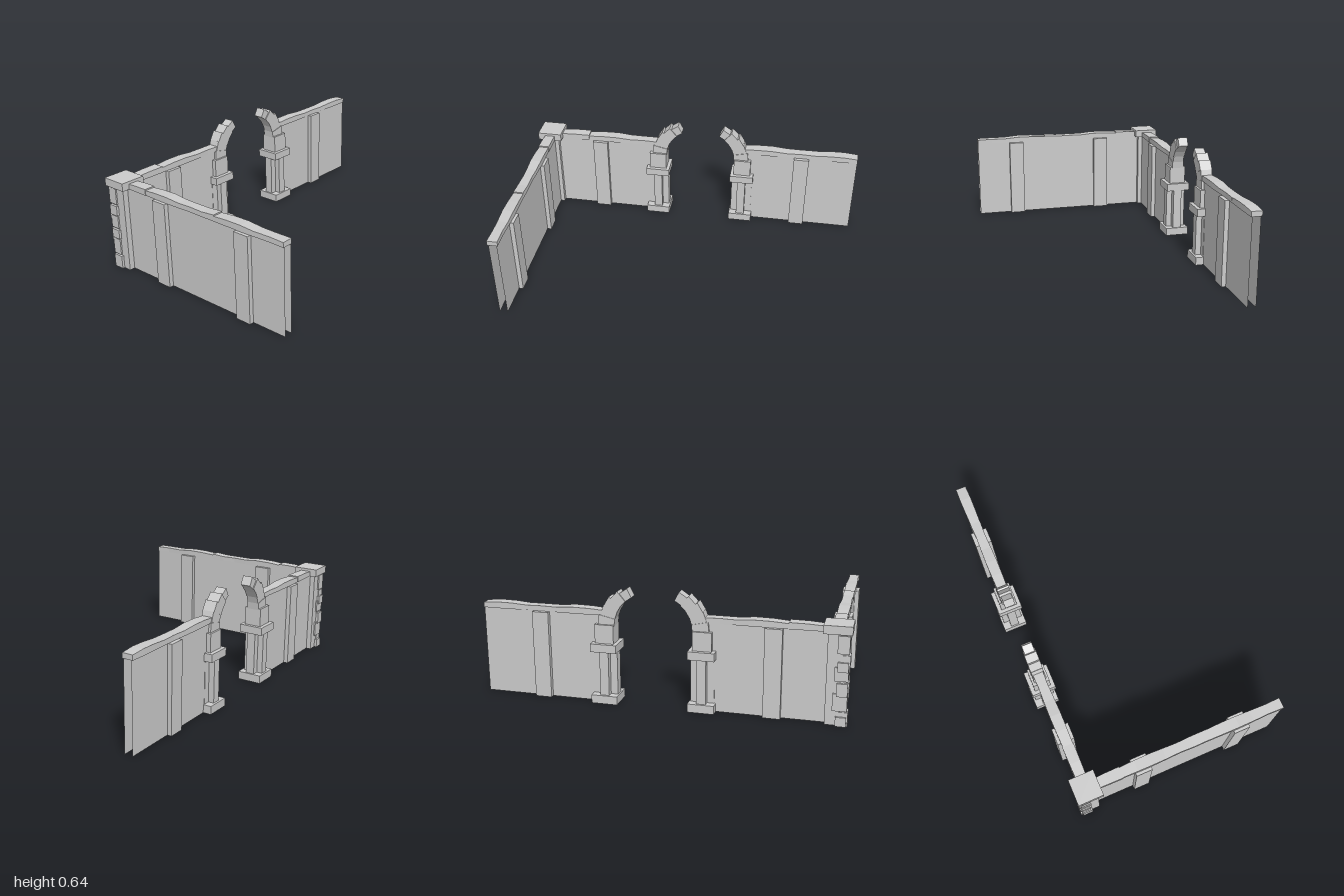
import * as THREE from 'three';

const material = new THREE.MeshStandardMaterial({
  color: 0xcccccc, flatShading: true, side: THREE.DoubleSide,
});

const WALL_X = -0.545;   // line of the side walls
const WALL_Z = 0.925;    // line of the front wall
const WALL_TOP = 0.487;
const GATE_Z = -0.033;   // middle of the gateway

function add(parent, name, geometry) {
  const mesh = new THREE.Mesh(geometry, material);
  mesh.name = name;
  parent.add(mesh);
  return mesh;
}

// Box given by its limits; faces listed in "open" (px nx py ny pz nz) are left out
function box(x0, x1, y0, y1, z0, z1, open = []) {
  const g = new THREE.BoxGeometry(x1 - x0, y1 - y0, z1 - z0);
  const sides = ['px', 'nx', 'py', 'ny', 'pz', 'nz'];
  const index = Array.from(g.index.array);
  g.setIndex(index.filter((_, i) => !open.includes(sides[Math.floor(i / 6)])));
  g.clearGroups();
  return g.translate((x0 + x1) / 2, (y0 + y1) / 2, (z0 + z1) / 2);
}

// Uneven run of coping stones along x, its height and depth changing at each joint
function coping(x0, x1) {
  const rise = [0.513, 0.519, 0.52, 0.513, 0.514, 0.513];
  const depth = [0.029, 0.031, 0.032, 0.03, 0.027, 0.03];
  const n = Math.max(1, Math.round((x1 - x0) / 0.0833));
  const g = new THREE.BoxGeometry(x1 - x0, 1, 2, n, 1, 1);
  const p = g.attributes.position;
  for (let i = 0; i < p.count; i++) {
    const k = Math.round((p.getX(i) / (x1 - x0) + 0.5) * n);
    const last = k === 6 ? 0.52 : rise[k % 6];
    p.setXYZ(i, p.getX(i) + (x0 + x1) / 2,
      p.getY(i) > 0 ? last : 0.485,
      Math.sign(p.getZ(i)) * depth[k % 6]);
  }
  g.computeVertexNormals();
  return g;
}

// Straight wall along local x: hollow panel, pilasters and coping
function makeWall(name, x0, x1, pilasters, joints) {
  const wall = new THREE.Group();
  wall.name = name;
  add(wall, 'wallPanel', box(x0, x1, 0, WALL_TOP, -0.023, 0.023, ['px', 'nx', 'py', 'ny']));
  for (const x of pilasters) {
    add(wall, 'pilaster', box(x - 0.046, x + 0.046, 0, 0.484, -0.048, 0.048, ['ny']));
  }
  const stops = [x0, ...joints, x1];
  for (let i = 0; i < stops.length - 1; i++) {
    add(wall, 'coping', coping(stops[i], stops[i + 1]));
  }
  return wall;
}

// Corner pillar with cap and rough quoins on the outer edge
function makeCornerPillar() {
  const pillar = new THREE.Group();
  pillar.name = 'cornerPillar';
  add(pillar, 'pillarShaft', box(-0.052, 0.05, 0, 0.487, -0.05, 0.053, ['ny']));
  add(pillar, 'pillarCap', box(-0.07, 0.073, 0.485, 0.53, -0.073, 0.072));
  const quoins = [ // bottom, top, width across x, depth across z
    [0, 0.075, 0.06, 0.05], [0.08, 0.173, 0.055, 0.075], [0.18, 0.232, 0.057, 0.05],
    [0.24, 0.312, 0.055, 0.07], [0.319, 0.376, 0.056, 0.05], [0.384, 0.477, 0.056, 0.06],
  ];
  quoins.forEach(([y0, y1, w, d], i) => {
    const left = i % 2 ? -0.06 : -0.056, front = i % 2 ? 0.061 : 0.067;
    add(pillar, 'quoin', box(left, left + w, y0, y1, front - d, front));
  });
  // thin facing stones on the outer side
  for (const [y0, y1] of [[0, 0.05], [0.16, 0.23], [0.29, 0.34]]) {
    add(pillar, 'facingStone', box(-0.067, -0.04, y0, y1, 0.005, 0.06));
  }
  pillar.position.set(WALL_X, 0, 0.927);
  return pillar;
}

// One half of the gate, in gate space: z grows away from the opening's middle
function makeGateHalf(name) {
  const half = new THREE.Group();
  half.name = name;
  const z = 0.267;
  add(half, 'pierBase', box(-0.07, 0.07, 0, 0.046, z - 0.072, z + 0.072, ['ny']));
  add(half, 'pierShaftAcross', box(-0.058, 0.058, 0, 0.3, z - 0.025, z + 0.025, ['ny']));
  add(half, 'pierShaftAlong', box(-0.025, 0.025, 0, 0.3, z - 0.064, z + 0.064, ['ny']));
  add(half, 'pierCap', box(-0.07, 0.07, 0.29, 0.335, z - 0.072, z + 0.072));
  add(half, 'pierBlock', box(-0.048, 0.048, 0.335, 0.438, z - 0.052, z + 0.052));

  // Broken arch: wedge stones round a common centre
  const cz = 0.031, cy = 0.432, inner = 0.182;
  const outer = [0.272, 0.264, 0.262, 0.25, 0.235];
  const width = [0.036, 0.033, 0.035, 0.035, 0.029];
  const step = THREE.MathUtils.degToRad(62) / outer.length;
  outer.forEach((r, i) => {
    const a = i * step, b = a + step, s = new THREE.Shape();
    const at = (rad, ang) => new THREE.Vector2(cz + rad * Math.cos(ang), cy + rad * Math.sin(ang));
    s.setFromPoints([at(inner, a), at(r, a), at(r, b), at(inner, b)]);
    const g = new THREE.ExtrudeGeometry(s, { depth: 2 * width[i], bevelEnabled: false });
    g.translate(0, 0, -width[i]).rotateY(-Math.PI / 2); // shape x becomes z
    add(half, 'archStone', g);
  });
  return half;
}

export function createModel() {
  const model = new THREE.Group();
  model.name = 'ruinedGateWall';

  // Front wall
  const front = makeWall('frontWall', -0.5, 0.61, [-0.225, 0.355], [-0.34, 0.16]);
  front.position.z = WALL_Z;
  model.add(front);

  // Side walls; local x runs towards -z after the turn
  const sides = [
    ['sideWallFront', -0.88, -0.235, [-0.605], [-0.68]],
    ['sideWallBack', 0.3, 1, [0.662], [0.75]],
  ];
  for (const args of sides) {
    const wall = makeWall(...args);
    wall.rotation.y = Math.PI / 2;
    wall.position.x = WALL_X;
    model.add(wall);
  }

  model.add(makeCornerPillar());

  // Gate halves facing each other
  const gateFront = makeGateHalf('gateFrontHalf');
  const gateBack = makeGateHalf('gateBackHalf');
  gateBack.rotation.y = Math.PI;
  for (const g of [gateFront, gateBack]) {
    g.position.set(WALL_X, 0, GATE_Z);
    model.add(g);
  }
  return model;
}
